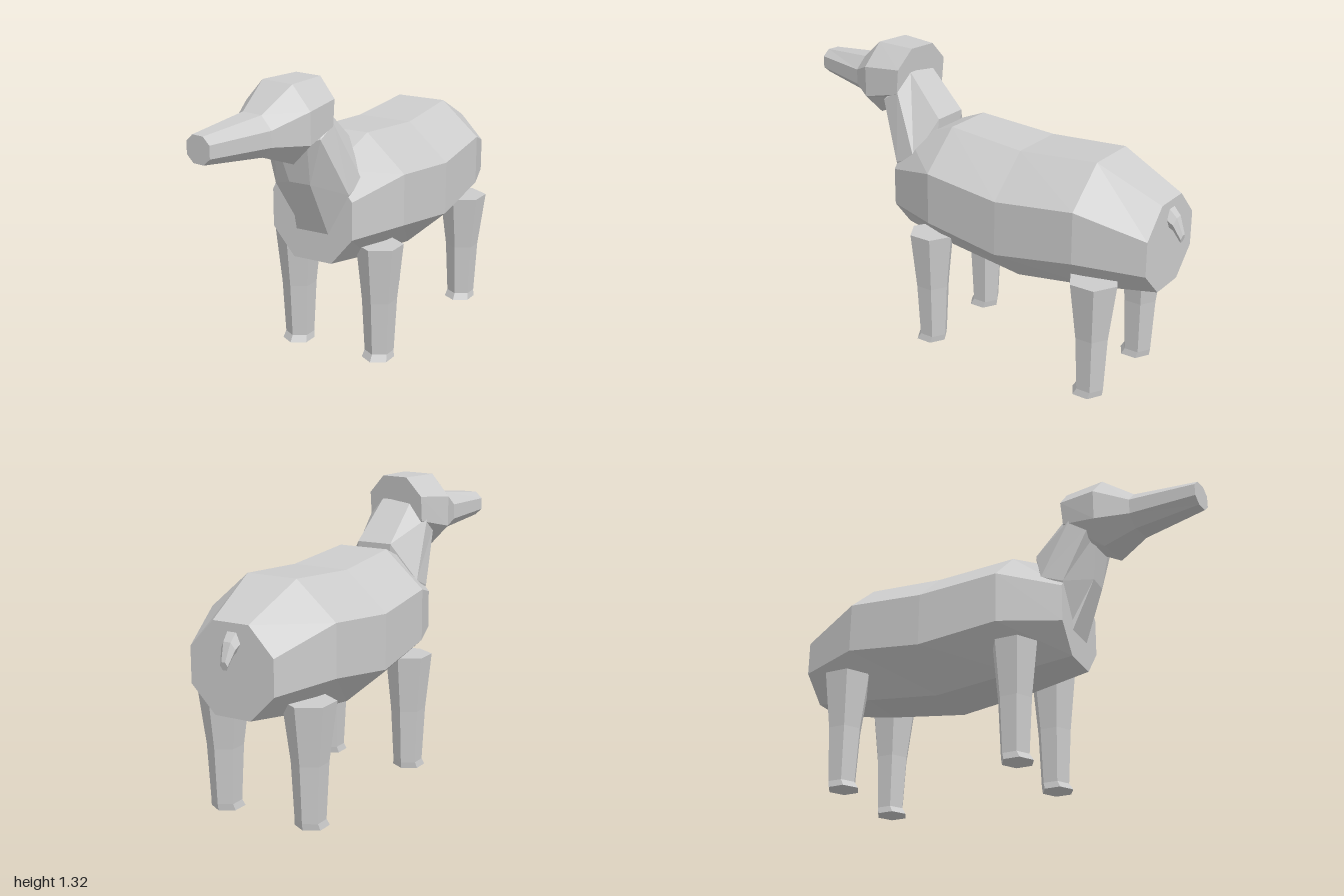
import * as THREE from 'three';

const hide = new THREE.MeshStandardMaterial({ color: 0xcccccc });
hide.name = 'grey hide';

// Skin a faceted tube over rings of points; rings run counter-clockwise seen from the far end.
function loft(name, rings) {
  const pos = [];
  const tri = (...pts) => pts.forEach((p) => pos.push(...p));
  const n = rings[0].length;
  for (let i = 0; i < rings.length - 1; i++) {
    for (let j = 0; j < n; j++) {
      const k = (j + 1) % n;
      const a = rings[i][j], b = rings[i][k], c = rings[i + 1][k], d = rings[i + 1][j];
      tri(a, b, c);
      tri(a, c, d);
    }
  }
  const first = rings[0], last = rings[rings.length - 1];
  for (let j = 1; j < n - 1; j++) {
    tri(first[0], first[j + 1], first[j]);
    tri(last[0], last[j], last[j + 1]);
  }
  const geo = new THREE.BufferGeometry();
  geo.setAttribute('position', new THREE.Float32BufferAttribute(pos, 3));
  geo.computeVertexNormals();
  const mesh = new THREE.Mesh(geo, hide);
  mesh.name = name;
  return mesh;
}

// Upright octagon: centre x, z, half widths of side and flats, four heights, yaw and backward lean.
function octagon(cx, z, side, flat, [bottom, low, high, top], yaw = 0, lean = 0) {
  return [[side, low], [side, high], [flat, top], [-flat, top],
    [-side, high], [-side, low], [-flat, bottom], [flat, bottom]]
    .map(([x, y]) => [cx + x, y, z + x * yaw - (y - low) * lean]);
}

// Six-sided leg, corner pointing forward, with a slightly flared foot.
function leg(name, x, z, topRadius) {
  const levels = [[0, 0.073, 0.012], [0.03, 0.066, 0], [0.28, 0.079, 0], [0.54, topRadius, 0]];
  return loft(name, levels.map(([y, r, shift]) =>
    Array.from({ length: 6 }, (_, k) => {
      const a = Math.PI / 6 + (k * Math.PI) / 3;
      return [x + r * Math.cos(a), y, z + shift - r * Math.sin(a)];
    })));
}

export function createModel() {
  const model = new THREE.Group();
  model.name = 'animal';

  // Barrel body, rump to chest
  model.add(loft('body', [
    octagon(0, -0.94, 0.2, 0.085, [0.495, 0.61, 0.765, 0.885]),
    octagon(0, -0.65, 0.305, 0.12, [0.455, 0.63, 0.86, 1.02]),
    octagon(0, -0.28, 0.325, 0.132, [0.41, 0.58, 0.825, 0.995]),
    octagon(0, 0.09, 0.305, 0.12, [0.455, 0.627, 0.86, 1.025]),
    octagon(0, 0.36, 0.2, 0.095, [0.495, 0.62, 0.79, 0.92]),
  ]));

  // Neck: each ring lists front-side, rear-side, back and front corners as [half width, y, z]
  const neckRing = (cx, [s, t, b, f]) => [
    ...[s, t, b].map(([x, y, z]) => [cx + x, y, z]),
    ...[b, t, s, f].map(([x, y, z]) => [cx - x, y, z]),
    [cx + f[0], f[1], f[2]],
  ];
  model.add(loft('neck', [
    neckRing(0, [[0.1, 0.55, 0.3], [0.12, 0.62, 0.22], [0.07, 0.85, 0.2], [0.095, 0.5, 0.31]]),
    neckRing(0, [[0.185, 0.82, 0.36], [0.19, 0.86, 0.257], [0.085, 1.03, 0.19], [0.052, 0.87, 0.455]]),
    neckRing(-0.02, [[0.14, 1.08, 0.477], [0.15, 1.13, 0.39], [0.075, 1.21, 0.37], [0.08, 1.07, 0.49]]),
  ]));

  // Head and long snout, turned slightly to its right
  model.add(loft('head', [
    octagon(-0.015, 0.375, 0.145, 0.065, [1.08, 1.12, 1.235, 1.32], 0.13, 0.1),
    octagon(-0.04, 0.548, 0.173, 0.08, [0.985, 1.08, 1.22, 1.32], 0.14),
    octagon(-0.067, 0.692, 0.103, 0.05, [1.04, 1.09, 1.16, 1.215], 0.15),
    octagon(-0.115, 0.988, 0.062, 0.028, [1.07, 1.1, 1.155, 1.185], 0.15),
  ]));

  // Short drooping tail
  model.add(loft('tail', [[0.82, -0.92, 0.045, 0.045], [0.785, -0.965, 0.034, 0.034], [0.722, -0.996, 0.018, 0.02]]
    .map(([y, z, rx, ry]) => Array.from({ length: 6 }, (_, k) => {
      const a = (k * Math.PI) / 3;
      return [-0.005 - rx * Math.cos(a), y + ry * Math.sin(a), z - 0.25 * ry * Math.sin(a)];
    }))));

  // Legs
  for (const [sign, side] of [[1, 'left'], [-1, 'right']]) {
    model.add(leg(`${side} front leg`, sign * 0.213, 0.14, 0.106));
    model.add(leg(`${side} hind leg`, sign * 0.213, -0.708, 0.113));
  }
  return model;
}
